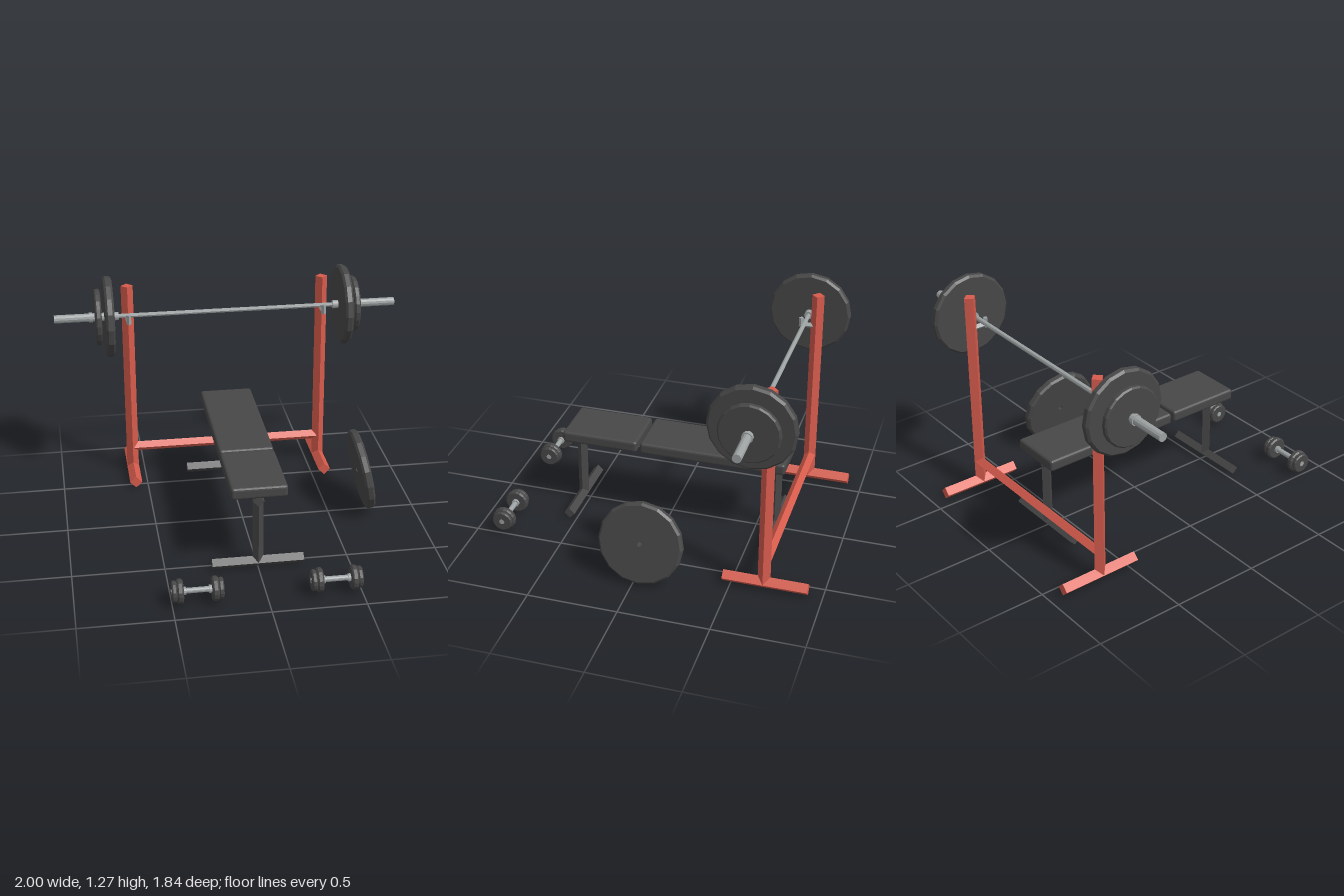
import * as THREE from 'three';
import { RoundedBoxGeometry } from 'three/addons/geometries/RoundedBoxGeometry.js';

const red = new THREE.MeshStandardMaterial({ color: 0xd65b4c });
red.name = 'red frame';
const black = new THREE.MeshStandardMaterial({ color: 0x474747 });
black.name = 'dark rubber';
const silver = new THREE.MeshStandardMaterial({ color: 0x9da2a3 });
silver.name = 'bare steel';

// Faceted normals for the low-poly look
function faceted(geo) {
  const g = geo.index ? geo.toNonIndexed() : geo;
  g.computeVertexNormals();
  return g;
}

function mesh(parent, name, geo, mat, x = 0, y = 0, z = 0) {
  const m = new THREE.Mesh(faceted(geo), mat);
  m.name = name;
  m.position.set(x, y, z);
  parent.add(m);
  return m;
}

// Straight bar between two points; four sides give a diamond section
function bar(parent, name, a, b, r, mat, sides = 4) {
  const p = new THREE.Vector3(...a), q = new THREE.Vector3(...b);
  const dir = q.clone().sub(p);
  const geo = new THREE.CylinderGeometry(r, r, dir.length(), sides);
  if (Math.abs(dir.x) > 0.001) geo.rotateZ(-Math.PI / 2);
  else if (Math.abs(dir.z) > 0.001) geo.rotateX(Math.PI / 2);
  const c = p.add(q).multiplyScalar(0.5);
  return mesh(parent, name, geo, mat, c.x, c.y, c.z);
}

// Bevelled disc with a centre hole, its axis along x
function disc(radius, width, bevel, hole, sides = 16) {
  const t = width / 2;
  const profile = [
    [hole, -t], [radius - bevel, -t], [radius, bevel - t],
    [radius, t - bevel], [radius - bevel, t], [hole, t], [hole, -t],
  ].map(([r, y]) => new THREE.Vector2(r, y));
  return new THREE.LatheGeometry(profile, sides).rotateZ(Math.PI / 2);
}

function group(parent, name) {
  const g = new THREE.Group();
  g.name = name;
  parent.add(g);
  return g;
}

function buildRack(parent) {
  const rack = group(parent, 'rack');
  for (const s of [-1, 1]) {
    const x = s * 0.573;
    bar(rack, 'rackUpright', [x, 0.037, -0.68], [x, 1.2, -0.68], 0.035, red);
    bar(rack, 'rackFoot', [x, 0.036, -0.92], [x, 0.036, -0.455], 0.036, red);
    // Hook that cradles the barbell
    bar(rack, 'hookArm', [x, 1.01, -0.68], [x, 1.01, -0.59], 0.016, silver);
    bar(rack, 'hookLip', [x, 0.995, -0.59], [x, 1.05, -0.59], 0.014, silver);
  }
  bar(rack, 'rackCrossbar', [-0.573, 0.166, -0.682], [0.573, 0.166, -0.682], 0.03, red);
}

function buildBarbell(parent) {
  const barbell = group(parent, 'barbell');
  barbell.position.set(0, 1.04, -0.617);
  bar(barbell, 'barShaft', [-0.64, 0, 0], [0.64, 0, 0], 0.013, silver, 8);
  for (const s of [-1, 1]) {
    bar(barbell, 'sleeve', [s * 0.63, 0, 0], [s, 0, 0], 0.024, silver, 12);
    bar(barbell, 'collar', [s * 0.78, 0, 0], [s * 0.8, 0, 0], 0.03, silver, 12);
    mesh(barbell, 'largePlate', disc(0.234, 0.05, 0.012, 0.015), black, s * 0.688);
    mesh(barbell, 'smallPlate', disc(0.163, 0.035, 0.008, 0.015, 20), black, s * 0.75);
  }
}

function buildBench(parent) {
  const bench = group(parent, 'bench');
  const pads = [['seatPad', 0.6, 0.165], ['backPad', 0.147, -0.68]];
  for (const [name, front, back] of pads) {
    const geo = new RoundedBoxGeometry(0.305, 0.067, front - back, 2, 0.016);
    mesh(bench, name, geo, black, 0, 0.475, (front + back) / 2);
  }
  bar(bench, 'benchBeam', [0, 0.41, 0.57], [0, 0.41, -0.635], 0.031, black);
  for (const z of [0.54, -0.608]) {
    bar(bench, 'benchLeg', [0, 0.033, z], [0, 0.43, z], 0.03, black);
    bar(bench, 'benchFoot', [-0.25, 0.033, z], [0.25, 0.033, z], 0.031, black);
  }
}

function buildDumbbell(parent, x) {
  const dumbbell = group(parent, 'dumbbell');
  dumbbell.position.set(x, 0.075, 0.85);
  bar(dumbbell, 'handle', [-0.137, 0, 0], [0.137, 0, 0], 0.015, silver, 12);
  for (const s of [-1, 1]) {
    bar(dumbbell, 'handleCollar', [s * 0.06, 0, 0], [s * 0.085, 0, 0], 0.021, silver, 12);
    mesh(dumbbell, 'innerWeight', disc(0.066, 0.034, 0.008, 0.012), black, s * 0.092);
    mesh(dumbbell, 'outerWeight', disc(0.058, 0.026, 0.006, 0.012), black, s * 0.122);
  }
}

export function createModel() {
  const model = new THREE.Group();
  model.name = 'weightBench';
  buildRack(model);
  buildBarbell(model);
  buildBench(model);
  for (const s of [-1, 1]) buildDumbbell(model, s * 0.366);
  // Spare plate leaning inward beside the bench
  const spare = mesh(model, 'sparePlate', disc(0.234, 0.05, 0.012, 0.014), black, 0.697, 0.241, -0.035);
  spare.rotation.z = 0.187;
  return model;
}
